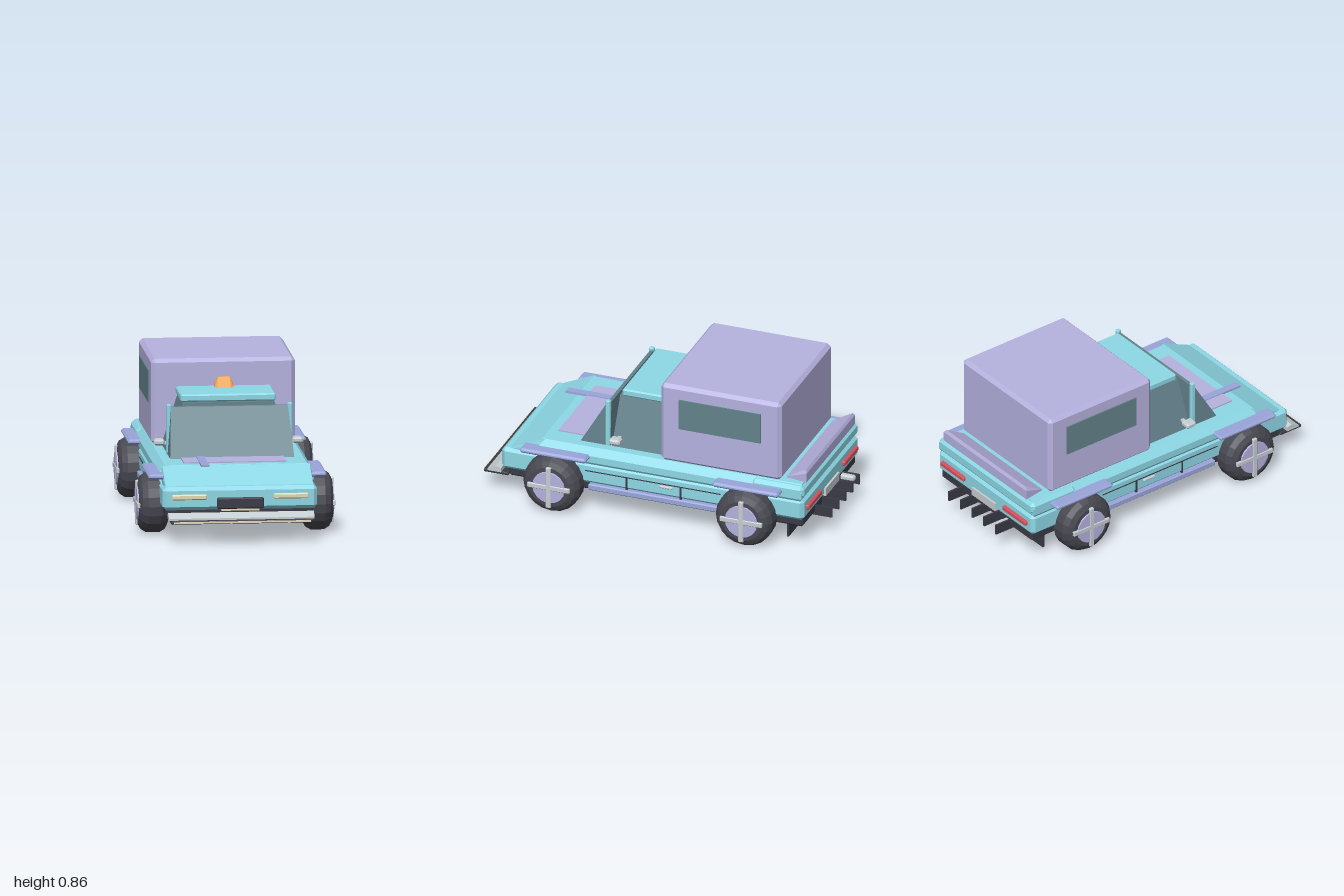
import * as THREE from 'three';
import { ConvexGeometry } from 'three/addons/geometries/ConvexGeometry.js';

const mat = (color) => new THREE.MeshStandardMaterial({ color, flatShading: true });
const M = {
  body: mat(0x8ed8e6), box: mat(0xb6b2e0), trim: mat(0x9aa6da), dark: mat(0x3a3a46), glass: mat(0x64828c),
  tyre: mat(0x484852), metal: mat(0xc6ced2), cream: mat(0xe4dab4), red: mat(0xd8505e), amber: mat(0xeaa352),
};

export function createModel() {
  const model = new THREE.Group();

  const add = (name, geometry, material, parent = model) => {
    const mesh = new THREE.Mesh(geometry, material);
    mesh.name = name;
    parent.add(mesh);
    return mesh;
  };

  // Chamfered box given by its extents [min, max] on each axis
  const block = (name, material, x, y, z, bevel = 0, parent = model) => {
    if (!bevel) {
      const g = new THREE.BoxGeometry(x[1] - x[0], y[1] - y[0], z[1] - z[0]);
      g.translate((x[0] + x[1]) / 2, (y[0] + y[1]) / 2, (z[0] + z[1]) / 2);
      return add(name, g, material, parent);
    }
    const points = [];
    for (const i of [0, 1]) for (const j of [0, 1]) for (const k of [0, 1]) {
      for (let axis = 0; axis < 3; axis++) {
        const p = [x[i], y[j], z[k]];
        [i, j, k].forEach((side, a) => { if (a !== axis) p[a] += side ? -bevel : bevel; });
        points.push(new THREE.Vector3(...p));
      }
    }
    return add(name, new ConvexGeometry(points), material, parent);
  };

  // Mirror-symmetric solid; each entry is [half width, y, z]
  const hull = (name, material, list) => add(name, new ConvexGeometry(
    list.flatMap(([x, y, z]) => [new THREE.Vector3(x, y, z), new THREE.Vector3(-x, y, z)])), material);

  const sides = (name, material, x, y, z, bevel) => {
    for (const s of [1, -1]) {
      block((s > 0 ? 'left ' : 'right ') + name, material, s > 0 ? x : [-x[1], -x[0]], y, z, bevel);
    }
  };

  // Chassis and bodywork
  block('chassis', M.dark, [-0.41, 0.41], [0.13, 0.19], [-0.9, 0.84], 0.01);
  block('lower body', M.body, [-0.43, 0.43], [0.175, 0.305], [-0.91, 0.88], 0.02);
  hull('upper body', M.body, [
    [0.42, 0.295, 0.7], [0.43, 0.31, 0.68], [0.43, 0.35, 0.66], [0.395, 0.39, 0.64],
    [0.42, 0.295, -0.89], [0.43, 0.31, -0.9], [0.43, 0.35, -0.9], [0.395, 0.39, -0.89],
  ]);
  hull('nose', M.body, [
    [0.41, 0.27, 0.87], [0.41, 0.29, 0.865], [0.42, 0.27, 0.63], [0.42, 0.35, 0.66],
    [0.41, 0.388, 0.65], [0.39, 0.388, 0.62],
  ]);
  block('rear deck', M.body, [-0.43, 0.43], [0.31, 0.385], [-0.91, -0.6], 0.02);
  block('hood panel', M.box, [-0.285, 0.285], [0.38, 0.397], [0.42, 0.595]);
  block('hood stripe', M.trim, [-0.2, -0.155], [0.39, 0.402], [0.42, 0.72]);

  // Cabin
  hull('windshield', M.glass, [
    [0.345, 0.39, 0.44], [0.345, 0.39, 0.265], [0.325, 0.655, 0.285], [0.325, 0.655, 0.265],
  ]);
  hull('cabin glass', M.glass, [
    [0.345, 0.385, 0.255], [0.345, 0.385, -0.06], [0.255, 0.67, 0.24], [0.255, 0.67, -0.06],
  ]);
  block('roof', M.body, [-0.265, 0.265], [0.67, 0.712], [-0.06, 0.225], 0.008);
  sides('windshield pillar', M.body, [0.323, 0.35], [0.38, 0.67], [0.265, 0.293], 0.006);
  sides('mirror', M.metal, [0.355, 0.415], [0.432, 0.466], [0.185, 0.25], 0.01);
  sides('mirror arm', M.metal, [0.32, 0.36], [0.435, 0.45], [0.205, 0.225]);
  hull('roof light', M.amber, [
    [0.052, 0.71, 0.005], [0.052, 0.71, -0.035], [0.035, 0.71, 0.02], [0.035, 0.71, -0.05],
    [0.052, 0.73, -0.025], [0.033, 0.765, -0.03], [0.033, 0.765, -0.045], [0.052, 0.73, -0.04],
  ]);

  // Cargo box
  block('cargo box', M.box, [-0.4, 0.4], [0.385, 0.865], [-0.765, -0.052], 0.02);
  sides('cargo window', M.glass, [0.395, 0.408], [0.605, 0.785], [-0.65, -0.165]);
  hull('rear spoiler', M.box, [
    [0.355, 0.395, -0.785], [0.355, 0.402, -0.785], [0.375, 0.395, -0.91],
    [0.375, 0.45, -0.91], [0.36, 0.467, -0.9],
  ]);

  // Side trim
  sides('side skirt', M.trim, [0.4, 0.443], [0.143, 0.18], [-0.42, 0.36], 0.006);
  for (const z of [0.135, -0.185]) sides('door seam', M.dark, [0.42, 0.433], [0.18, 0.257], [z - 0.005, z + 0.005]);
  sides('door crease', M.dark, [0.42, 0.433], [0.254, 0.259], [-0.42, 0.38]);
  sides('door handle', M.metal, [0.425, 0.442], [0.234, 0.248], [-0.14, -0.06], 0.004);
  for (const [place, z] of [['front', 0.55], ['rear', -0.59]]) {
    sides(place + ' fender', M.trim, [0.405, 0.495], [0.328, 0.356], [z - 0.195, z + 0.195], 0.01);
  }

  // Wheels: tyre ring profile turned around the axle, hub disc and cross spokes
  const tyreProfile = [
    [0, -0.08], [0.12, -0.08], [0.15, -0.065], [0.168, -0.035],
    [0.168, 0.035], [0.15, 0.065], [0.12, 0.082], [0, 0.082],
  ].map((p) => new THREE.Vector2(...p));
  for (const s of [1, -1]) for (const [place, z] of [['front', 0.555], ['rear', -0.585]]) {
    const wheel = new THREE.Group();
    wheel.name = `${place} ${s > 0 ? 'left' : 'right'} wheel`;
    add('tyre', new THREE.LatheGeometry(tyreProfile, 20), M.tyre, wheel);
    const hub = add('hub', new THREE.CylinderGeometry(0.095, 0.1, 0.02, 16), M.box, wheel);
    hub.position.y = 0.08;
    block('spoke', M.metal, [-0.125, 0.125], [0.07, 0.094], [-0.015, 0.015], 0.004, wheel);
    block('spoke', M.metal, [-0.015, 0.015], [0.07, 0.094], [-0.125, 0.125], 0.004, wheel);
    wheel.rotation.z = -s * Math.PI / 2;
    wheel.position.set(s * 0.457, 0.17, z);
    model.add(wheel);
  }

  // Front end
  sides('headlight', M.cream, [0.185, 0.38], [0.235, 0.265], [0.86, 0.893], 0.006);
  block('grille', M.dark, [-0.13, 0.13], [0.184, 0.245], [0.86, 0.903], 0.006);
  block('front plate', M.cream, [-0.105, 0.105], [0.173, 0.185], [0.87, 0.895]);
  hull('front bumper', M.metal, [
    [0.405, 0.135, 0.97], [0.405, 0.145, 0.97], [0.405, 0.17, 0.92], [0.405, 0.16, 0.89], [0.405, 0.135, 0.89],
  ]);
  block('front splitter', M.dark, [-0.395, 0.395], [0.117, 0.135], [0.85, 0.996], 0.004);
  block('splitter strip', M.cream, [-0.38, 0.38], [0.121, 0.131], [0.98, 1.0]);

  // Rear end
  sides('tail light', M.red, [0.175, 0.385], [0.227, 0.257], [-0.928, -0.9], 0.006);
  block('rear plate', M.metal, [-0.105, 0.105], [0.18, 0.228], [-0.922, -0.9]);
  for (const x of [-0.212, -0.106, 0, 0.106, 0.212]) {
    block('diffuser fin', M.dark, [x - 0.006, x + 0.006], [0.115, 0.175], [-1, -0.83]);
  }
  block('exhaust', M.metal, [-0.212, -0.175], [0.14, 0.172], [-0.98, -0.86], 0.008);
  sides('mud flap', M.dark, [0.255, 0.4], [0.052, 0.14], [-0.815, -0.803]);

  return model;
}
